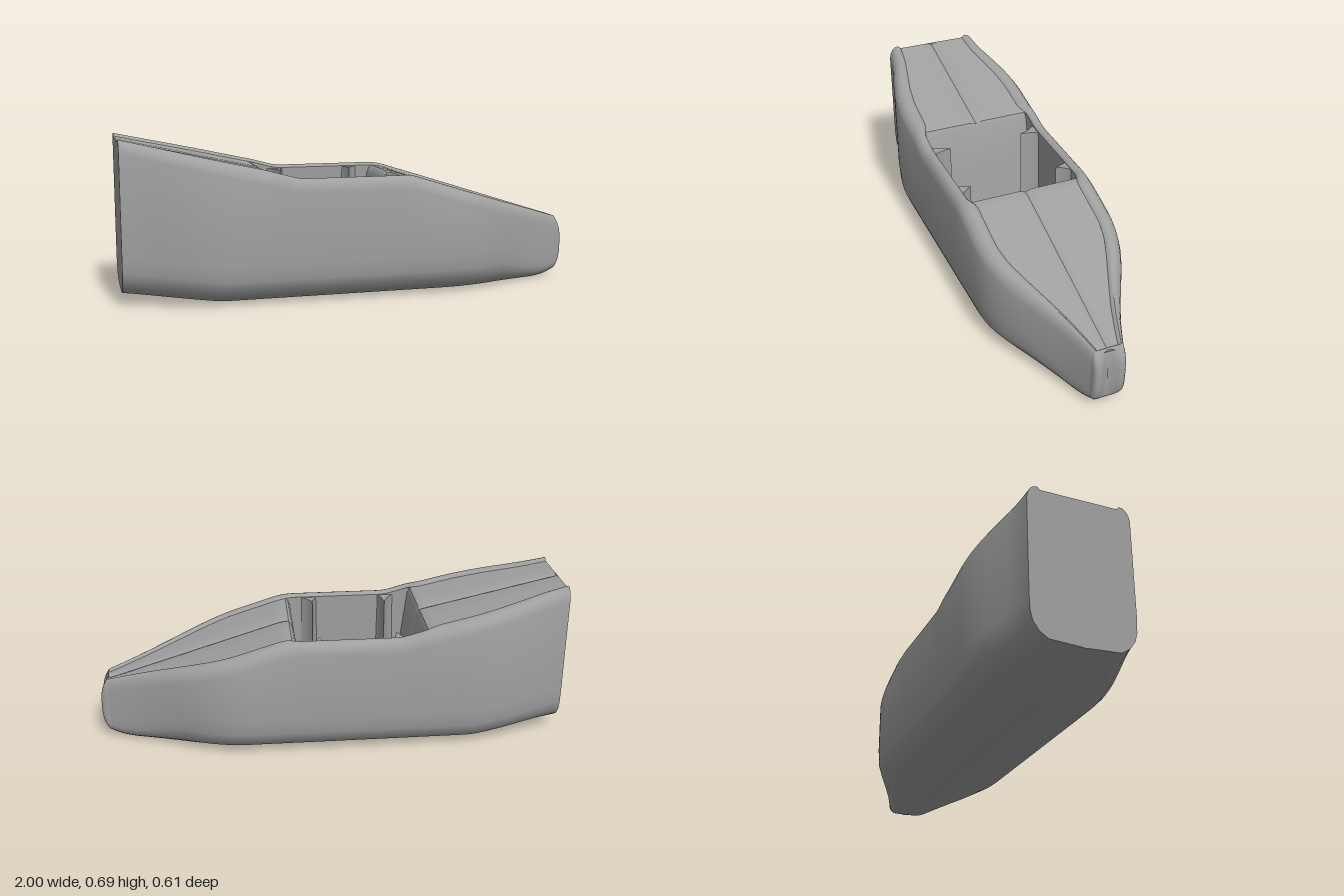
import * as THREE from 'three';
import { toCreasedNormals } from 'three/addons/utils/BufferGeometryUtils.js';

// Piecewise-linear lookup, softened by averaging over a small window
function curve(points, soft) {
  const at = (x) => {
    let i = 0;
    while (i < points.length - 2 && x > points[i + 1][0]) i++;
    const [x0, v0] = points[i], [x1, v1] = points[i + 1];
    return v0 + (v1 - v0) * (x - x0) / (x1 - x0);
  };
  return (x) => {
    let sum = 0;
    for (let k = -3; k <= 3; k++) sum += at(x + soft * k / 3);
    return sum / 7;
  };
}

// Lines that shape the body along its length
const topY = curve([[-1, 0.688], [-0.4, 0.553], [-0.28, 0.52], [0.2, 0.52], [0.965, 0.281]], 0.025);
const bottomY = curve([[-1, 0.05], [-0.6, 0.002], [0.86, 0.002], [0.92, 0.01], [0.965, 0.027]], 0.02);
const halfWidth = curve([[-1, 0.217], [-0.93, 0.226], [-0.8, 0.265], [-0.7, 0.292], [-0.6, 0.305], [0.4, 0.305],
  [0.5, 0.286], [0.6, 0.245], [0.7, 0.19], [0.8, 0.137], [0.9, 0.093], [0.965, 0.07]], 0.05);
const deckWidth = curve([[-1, 0.168], [-0.9, 0.178], [-0.7, 0.222], [-0.6, 0.235], [-0.43, 0.237], [-0.39, 0.258],
  [0.15, 0.258], [0.2, 0.237], [0.42, 0.236], [0.5, 0.22], [0.6, 0.182], [0.7, 0.14], [0.8, 0.1],
  [0.9, 0.068], [0.965, 0.05]], 0.02);

const NOSE = 0.965, FLOOR = 0.06, DROP = 0.012;

// Surface through rows of [x, y, z] points
function loft(rows, crease = 0.6) {
  const n = rows[0].length, index = [];
  for (let i = 0; i < rows.length - 1; i++) {
    for (let j = 0; j < n - 1; j++) {
      const a = i * n + j, b = a + n;
      index.push(a, b, a + 1, b, b + 1, a + 1);
    }
  }
  const geo = new THREE.BufferGeometry();
  geo.setAttribute('position', new THREE.Float32BufferAttribute(rows.flat(2), 3));
  geo.setIndex(index);
  return toCreasedNormals(geo, crease);
}

function range(a, b, count) {
  return Array.from({ length: count + 1 }, (_, i) => a + (b - a) * i / count);
}

// Half section from the keel, round the bilge and up to the inside of the rim: [z, y]
function halfSection(x) {
  const w = halfWidth(x), t = topY(x), b = bottomY(x), d = deckWidth(x);
  const h = Math.min(1, w / 0.22), g = w - d;
  return [[0, b], [0.02 * h, b + 0.003], [w * 0.67, b + 0.01 * h], [w * 0.83, b + 0.034 * h], [w * 0.94, b + 0.068 * h],
    [w * 0.985, b + 0.105 * h], [w, b + 0.17 * h], [w, t - 0.055], [w - 0.1 * g, t - 0.032], [w - 0.3 * g, t - 0.013],
    [w - 0.55 * g, t - 0.003], [w - 0.8 * g, t], [d + 0.05 * g, t - 0.002], [d - 0.008, t - DROP]];
}

function fullSection(half, x) {
  const right = half.slice(1).reverse().map(([z, y]) => [x, y, -z]);
  return right.concat(half.map(([z, y]) => [x, y, z]));
}

// Deck row across the body, with a fine groove on the centre line
function deckRow(x, y, d) {
  const half = [[d, 0], [d * 0.6, 0], [Math.min(0.03, d * 0.4), 0], [Math.min(0.012, d * 0.2), -0.004], [0, -0.009]];
  const left = half.map(([z, dy]) => [x, y + dy, z]);
  return left.concat(half.slice(0, -1).reverse().map(([z, dy]) => [x, y + dy, -z]));
}
const deckAt = (x) => deckRow(x, topY(x) - DROP, deckWidth(x) - 0.008);
const wallAt = ([x, y]) => deckRow(x, y, 0.25);

export function createModel() {
  const group = new THREE.Group();
  const grey = new THREE.MeshStandardMaterial({ color: 0xa0a0a0, side: THREE.DoubleSide });
  grey.name = 'plain grey';
  const add = (name, geo) => {
    const mesh = new THREE.Mesh(geo, grey);
    mesh.name = name;
    group.add(mesh);
    return mesh;
  };

  // Outer shell with the rounded rim
  add('hull', loft(range(-1, NOSE, 110).map((x) => fullSection(halfSection(x), x))));

  // Flat stern plate
  const stern = halfSection(-1);
  stern.push([0, stern[stern.length - 1][1]]);
  const edge = fullSection(stern, -1);
  add('sternPlate', loft([edge.map(() => [-1, 0.37, 0]), edge]));

  // Rear deck, turning down into the sloping rear wall of the cockpit
  add('rearDeck', loft([
    ...range(-1, -0.41, 30).map(deckAt),
    ...[[-0.397, 0.537], [-0.387, 0.515], [-0.36, 0.3], [-0.33, FLOOR]].map(wallAt),
  ], 0.7));

  // Front deck, with the sloping front wall of the cockpit
  add('frontDeck', loft([
    ...[[0.1, FLOOR], [0.13, 0.3], [0.155, 0.475], [0.163, 0.497]].map(wallAt),
    ...range(0.175, NOSE, 40).map(deckAt),
  ], 0.7));

  // Cockpit floor
  add('cockpitFloor', loft([-0.34, 0.12].map((x) => deckRow(x, FLOOR, 0.262))));

  for (const side of [1, -1]) {
    const name = side > 0 ? 'left' : 'right';

    // Inner side wall of the cockpit
    add(name + 'CockpitWall', loft(range(-0.42, 0.185, 24).map((x) => {
      const z = (deckWidth(x) - 0.008) * side;
      return [[x, topY(x) - DROP, z], [x, 0.3, z + 0.004 * side], [x, FLOOR, z + 0.008 * side]];
    })));

    // Pointed upright ribs on the side wall
    for (const [tip, depth, dir] of [[-0.27, 0.17, 1], [0.055, 0.198, -1]]) {
      const shape = new THREE.Shape();
      shape.moveTo(tip - 0.065 * dir, 0.262);
      shape.quadraticCurveTo(tip - 0.025 * dir, 0.245, tip, depth);
      shape.quadraticCurveTo(tip + 0.008 * dir, 0.24, tip + 0.03 * dir, 0.262);
      const geo = new THREE.ExtrudeGeometry(shape, { depth: 0.505 - FLOOR, bevelEnabled: false, curveSegments: 8 });
      geo.rotateX(Math.PI / 2);
      if (side < 0) geo.rotateY(Math.PI).translate(2 * tip, 0, 0);
      // Turning a rib swaps its ends, so shift it back over its own tip
      if (side < 0) {
        geo.translate(-tip, 0, 0).scale(-1, 1, 1).translate(tip, 0, 0);
        const p = geo.attributes.position, m = geo.attributes.normal;
        for (let i = 0; i < p.count; i += 3) {
          for (const att of [p, m]) {
            const a = [att.getX(i), att.getY(i), att.getZ(i)];
            att.setXYZ(i, att.getX(i + 1), att.getY(i + 1), att.getZ(i + 1));
            att.setXYZ(i + 1, ...a);
          }
        }
      }
      geo.translate(0, 0.505, 0);
      add(name + 'CockpitRib', geo);
    }
  }

  // Rounded nose with two lobes and a hollow between them
  const tipHalf = [];
  const end = halfSection(NOSE);
  end.forEach(([z, y], i) => {
    tipHalf.push([z, y]);
    // extra points up the tall side
    if (i === 6) for (let k = 1; k < 6; k++) tipHalf.push([z, y + (end[7][1] - y) * k / 6]);
  });
  tipHalf.push([0, end[end.length - 1][1]]);
  const layers = [[0, 1], [0.016, 0.98], [0.028, 0.92], [0.034, 0.82], [0.035, 0.66], [0.027, 0.45], [0.012, 0.2], [0.006, 0]];
  add('nose', loft(layers.map(([push, scale]) => {
    const ring = tipHalf.map(([z, y]) => [z * scale, y]);
    return fullSection(ring, NOSE).map(([x, y, z]) => {
      const bulge = Math.max(0, 1 - Math.pow(Math.abs(y - 0.155) / 0.128, 3));
      return [x + push * bulge, y, z];
    });
  }), 0.8));

  return group;
}
